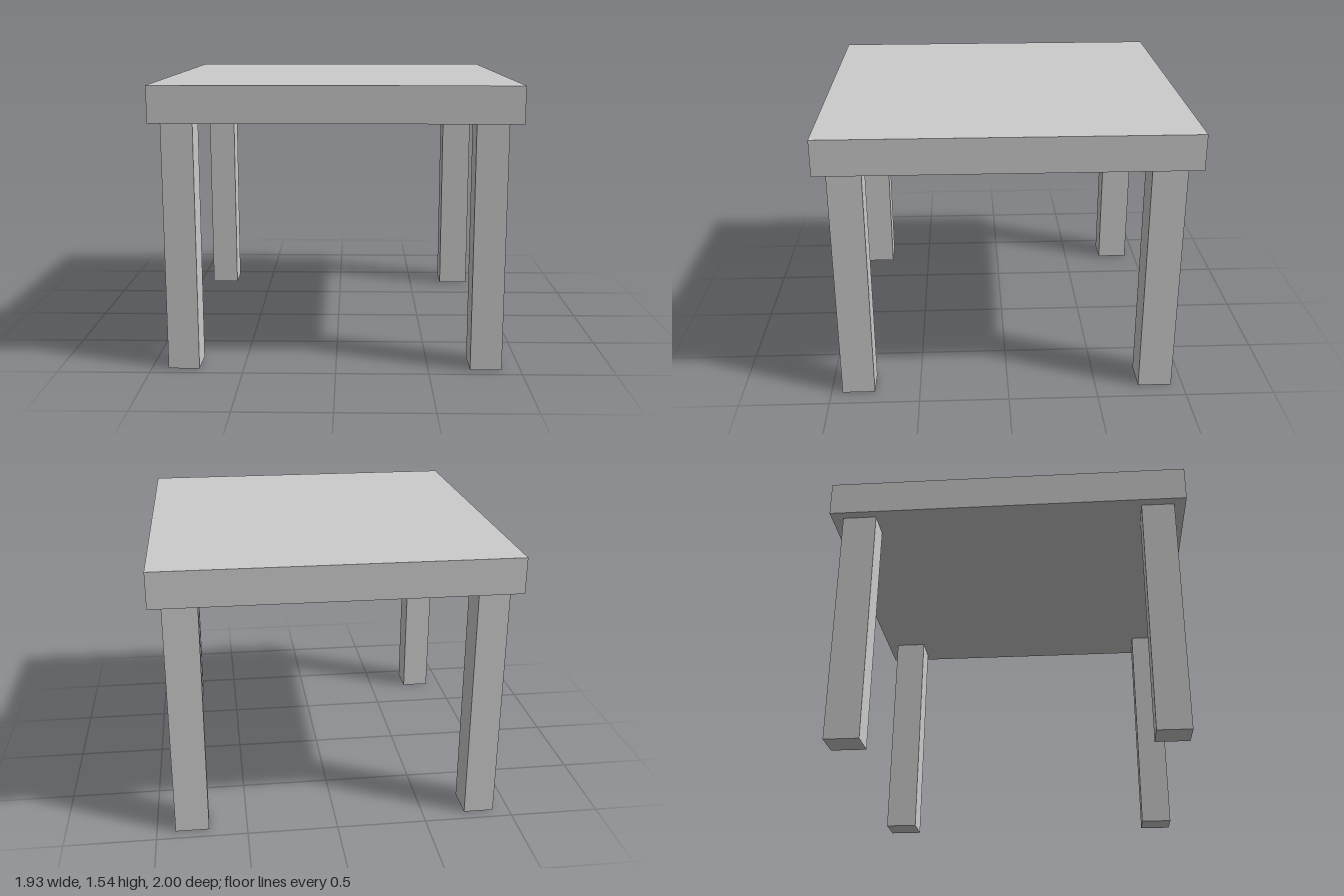
import * as THREE from 'three';

const material = new THREE.MeshStandardMaterial({ color: 0xcccccc, flatShading: true });

// Box given by its extents along each axis
function block(name, [x0, x1], [y0, y1], [z0, z1]) {
  const mesh = new THREE.Mesh(new THREE.BoxGeometry(x1 - x0, y1 - y0, z1 - z0), material);
  mesh.position.set((x0 + x1) / 2, (y0 + y1) / 2, (z0 + z1) / 2);
  mesh.name = name;
  return mesh;
}

export function createModel() {
  const table = new THREE.Group();
  table.name = 'table';
  const underside = 1.343;

  // Thick slab top
  table.add(block('tableTop', [-0.963, 0.963], [underside, 1.538], [-1, 1]));

  // Four square legs, set in from the edges; the back left one is slightly wider
  const front = [0.755, 0.937], back = [-0.934, -0.745];
  const legs = [
    ['frontLeftLeg', [0.727, 0.897], front],
    ['backLeftLeg', [0.712, 0.897], back],
    ['frontRightLeg', [-0.909, -0.741], front],
    ['backRightLeg', [-0.909, -0.741], back],
  ];
  for (const [name, x, z] of legs) table.add(block(name, x, [0, underside], z));

  return table;
}
